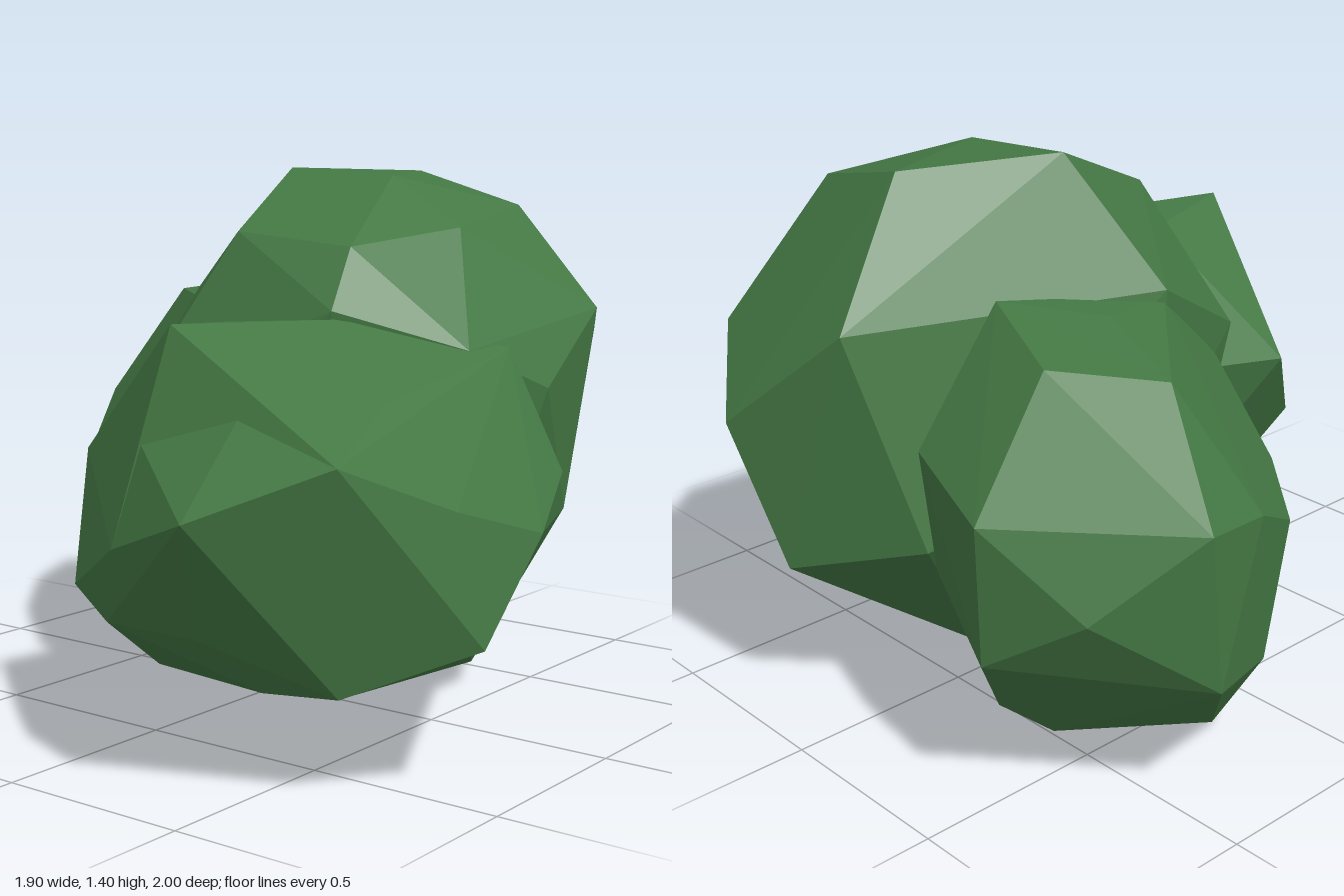
import * as THREE from 'three';
import { ConvexGeometry } from 'three/addons/geometries/ConvexGeometry.js';

// Corner points (x, y, z) of each faceted clump of leaves
const clumps = {
  middleClump: [
    [-0.12, 1.4, -0.22], [0.05, 1.39, -0.6], [0.2, 1.38, -0.24], [0.41, 1.3, -0.54], [0.44, 1.25, -0.2],
    [0.33, 1.21, 0.13], [-0.02, 1.24, 0.14], [0.36, 1.06, 0.25], [-0.2, 0.85, 0.31], [-0.12, 0.7, 0.35],
    [0.1, 0.65, 0.33], [-0.34, 1.07, -0.08], [0.64, 1.03, -0.57], [0.69, 0.85, -0.23], [0.61, 0.96, 0.02],
    [0.51, 0.95, -0.8], [-0.06, 1.07, -0.86], [0.23, 0.81, -1], [0.12, 0.43, -0.92], [0.45, 0.5, -0.75],
    [0.62, 0.5, -0.45], [0.4, 0.06, -0.35], [0.23, 0.01, 0.03], [0.08, 0.02, -0.36], [0.08, 0.02, 0.03],
    [-0.22, 0.42, 0.15], [0.55, 0.25, -0.1], [-0.19, 0.52, -0.73], [0.3, 0.2, 0.15], [-0.36, 0.65, -0.1],
  ],
  rightClump: [
    [-0.95, 0.78, -0.55], [-0.79, 0.58, -0.77], [-0.7, 0.86, -0.62], [-0.55, 0.77, -0.88], [-0.49, 1.05, -0.62],
    [-0.22, 0.81, -0.77], [-0.2, 1.11, -0.51], [-0.38, 1.07, -0.31], [-0.7, 1.03, -0.43], [-0.87, 0.72, -0.3],
    [-0.73, 0.57, -0.04], [-0.5, 0.6, 0.15], [-0.25, 0.8, 0.2], [-0.24, 0.37, 0.25], [-0.58, 0.26, 0.09],
    [-0.94, 0.37, -0.5], [-0.8, 0.28, -0.2], [-0.61, 0, -0.17], [-0.4, 0.03, -0.52], [-0.19, 0.01, -0.52],
    [-0.55, 0.42, -0.87], [-0.21, 0.48, -0.72], [-0.3, 1.04, -0.05], [0, 0.2, -0.25], [0, 0.7, -0.2],
  ],
  leftClump: [
    [-0.22, 0.7, 0.5], [-0.18, 0.72, 0.3], [0.21, 1.05, 0.67], [0.13, 1.03, 0.36], [0.37, 1.04, 0.25],
    [0.64, 0.96, -0.12], [0.82, 0.67, -0.08], [0.65, 0.43, -0.2], [0.94, 0.58, 0.22], [0.9, 0.67, 0.52],
    [0.95, 0.36, 0.48], [0.78, 0.79, 0.8], [0.22, 0.56, 0.89], [-0.03, 0.42, 0.75], [0.12, 0.36, 0.8],
    [0.05, 0.19, 0.54], [0.7, 0.25, 0.68], [0.47, 0.22, 0.66], [0.27, 0.1, 0.27], [-0.1, 0.42, 0.3],
    [0.68, 0.88, 0.49], [0.46, 0.94, 0.7], [0.15, 0.6, 0],
  ],
  // Pointed front of the left clump
  leftClumpTip: [
    [0.52, 0.67, 1], [0.78, 0.79, 0.8], [0.48, 0.87, 0.75], [0.22, 0.56, 0.89], [0.21, 0.79, 0.78],
    [0.12, 0.36, 0.8], [0.39, 0.36, 0.8], [0.7, 0.25, 0.68], [0.95, 0.36, 0.48], [0.9, 0.67, 0.52],
    [0.5, 0.5, 0.4],
  ],
};

export function createModel() {
  const group = new THREE.Group();
  group.name = 'bush';
  const leafGreen = new THREE.MeshStandardMaterial({ color: 0x447844 });
  leafGreen.name = 'leafGreen';

  // Each clump is a closed, flat-faced hull that overlaps its neighbours
  for (const [name, corners] of Object.entries(clumps)) {
    const points = corners.map((c) => new THREE.Vector3(...c));
    const mesh = new THREE.Mesh(new ConvexGeometry(points), leafGreen);
    mesh.name = name;
    group.add(mesh);
  }
  return group;
}
